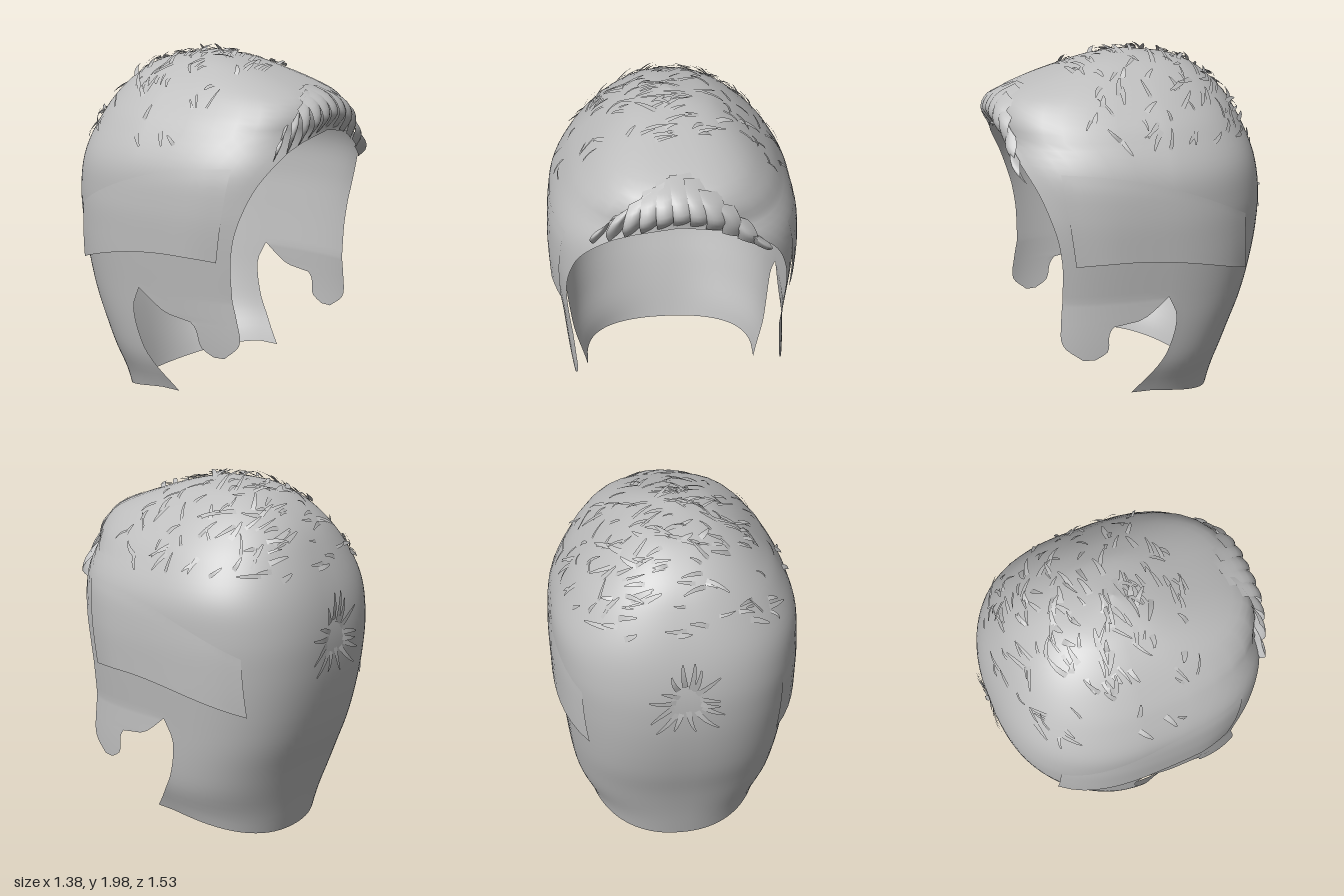
import * as THREE from 'three';
import { mergeGeometries, mergeVertices } from 'three/addons/utils/BufferGeometryUtils.js';

const { lerp, clamp, smoothstep } = THREE.MathUtils;

// Smooth curve through [y, value] keys
function curve(keys) {
  const slope = i => {
    const a = keys[Math.max(i - 1, 0)], b = keys[Math.min(i + 1, keys.length - 1)];
    return (b[1] - a[1]) / (b[0] - a[0]);
  };
  return y => {
    y = clamp(y, keys[0][0], keys[keys.length - 1][0]);
    let i = 0;
    while (i < keys.length - 2 && y > keys[i + 1][0]) i++;
    const [y0, v0] = keys[i], [y1, v1] = keys[i + 1], h = y1 - y0, s = (y - y0) / h;
    const s2 = s * s, s3 = s2 * s;
    return v0 * (2 * s3 - 3 * s2 + 1) + v1 * (3 * s2 - 2 * s3)
      + h * (slope(i) * (s3 - 2 * s2 + s) + slope(i + 1) * (s3 - s2));
  };
}

// Half width, front depth and back depth of the hair at each height
const TOP = 1.96, EAR = 0.72;
const halfWidth = curve([[0, .47], [.13, .5], [.3, .57], [.45, .6], [.72, .63], [1, .66], [1.2, .675],
  [1.4, .66], [1.6, .56], [1.7, .48], [1.8, .38], [1.87, .285], [1.92, .185], [TOP, 0]]);
const frontDepth = curve([[0, .8], [1, .79], [1.1, .78], [1.3, .76], [1.45, .75], [1.57, .72], [1.65, .73],
  [1.74, .69], [1.8, .57], [1.87, .37], [1.92, .2], [TOP, 0]]);
const backDepth = curve([[0, .47], [.2, .52], [.4, .58], [.6, .65], [.8, .7], [1, .73], [1.2, .735],
  [1.4, .7], [1.6, .62], [1.75, .525], [1.87, .38], [1.92, .25], [TOP, 0]]);

// Roundness of the cross-section: squarer in front, rounder behind
const frontPower = y => lerp(0.68, 0.78, smoothstep(y, 1.5, 1.9));
const backPower = y => lerp(0.9, 0.79, smoothstep(y, 0, 0.7)) + 0.06 * smoothstep(y, 1.4, 1.9);
const power = (y, behind) => (behind ? backPower : frontPower)(y);

// Z of the cut edges at each height: face opening, sideburn rear, neck front
const faceEdge = curve([[.4, .38], [.48, .48], [.6, .5], [.9, .5], [1, .51], [1.1, .53], [1.3, .6],
  [1.45, .675], [1.53, .71], [1.57, .74]]);
const burnEdge = curve([[.4, .32], [.44, .26], [.58, .23], [.6, .1], [.63, .04], [.72, -.07]]);
const neckEdge = curve([[.13, .1], [.26, 0], [.4, -.08], [.6, -.12], [.72, -.07]]);

// Point on the rounded-square shell; t runs from the front (0) round the left to the back (PI)
function shellPoint(t, y, out = 0) {
  const c = Math.cos(t), s = Math.sin(t), p = power(y, c < 0);
  const depth = c > 0 ? frontDepth(y) : backDepth(y);
  return new THREE.Vector3(
    Math.sign(s) * Math.abs(s) ** p * (halfWidth(y) + out), y,
    Math.sign(c) * Math.abs(c) ** p * (depth + out));
}
function angleAt(z, y) {
  const r = clamp(z / (z > 0 ? frontDepth(y) : backDepth(y)), -1, 1);
  return Math.acos(Math.sign(r) * Math.abs(r) ** (1 / power(y, z < 0)));
}
// Point on the front of the shell at a given x
function frontPoint(x, y, out) {
  const r = Math.min(1, Math.abs(x) / halfWidth(y));
  return shellPoint(Math.sign(x) * Math.asin(r ** (1 / frontPower(y))), y, out);
}
const earAngle = angleAt(-0.07, EAR);

// Surface from a rule giving the point at column i and row j
function grid(cols, rows, point) {
  const pos = [], index = [], w = cols + 1;
  for (let j = 0; j <= rows; j++)
    for (let i = 0; i <= cols; i++) pos.push(...point(i, j).toArray());
  for (let j = 0; j < rows; j++)
    for (let i = 0; i < cols; i++) {
      const a = j * w + i, b = a + w;
      index.push(a, b, b + 1, a, b + 1, a + 1);
    }
  const g = new THREE.BufferGeometry();
  g.setAttribute('position', new THREE.Float32BufferAttribute(pos, 3));
  g.setIndex(index);
  g.computeVertexNormals();
  return g;
}

let seed = 7;
const random = () => (seed = (seed * 16807) % 2147483647) / 2147483647;
const between = (a, b) => lerp(a, b, random());

// Thin tapered tuft from a base point, along a direction, lifting off the surface
function tuft(base, dir, normal, length, width, lift) {
  const side = new THREE.Vector3().crossVectors(dir, normal);
  const bend = between(-0.25, 0.25) * length;
  return grid(1, 4, (i, j) => {
    const s = j / 4, half = width * (0.5 - 0.35 * s * s) * (i ? 1 : -1);
    return base.clone().addScaledVector(dir, s * length)
      .addScaledVector(side, half + bend * s * s)
      .addScaledVector(normal, 0.003 + lift * Math.sin(s * 2.2));
  });
}

export function createModel() {
  const model = new THREE.Group();
  const hair = new THREE.MeshStandardMaterial({ color: 0xbdbdbd, side: THREE.DoubleSide });
  hair.name = 'hairGrey';
  const add = (name, geometry) => {
    const mesh = new THREE.Mesh(geometry, hair);
    mesh.name = name;
    model.add(mesh);
  };

  // Cap, neck and sideburns share columns along the ear line
  const SIDE = 8, BACK = 48, ALL = BACK + 2 * SIDE, ROWS = 44;
  const cap = grid(ALL, ROWS, (i, j) => {
    const s = j / ROWS;
    const y = s < 0.5 ? TOP - (TOP - 1.57) * (2 * s) ** 2 : lerp(1.57, EAR, (s - 0.5) * 2);
    const start = y >= 1.5699 ? 0 : angleAt(faceEdge(y), y);
    const k = Math.min(i, ALL - i);
    const t = k < SIDE ? lerp(start, earAngle, k / SIDE)
      : lerp(earAngle, Math.PI, (k - SIDE) / (BACK / 2));
    return shellPoint(i > ALL / 2 ? -t : t, y);
  });
  const neck = grid(BACK, 14, (i, j) => {
    const s = j / 14, y = lerp(EAR, 0.13, s);
    const k = Math.min(i, BACK - i);
    const t = lerp(angleAt(neckEdge(y), y), Math.PI, k / (BACK / 2));
    const dip = 0.13 * s * Math.max(0, -Math.cos(t)) ** 1.2;
    return shellPoint(i > BACK / 2 ? -t : t, y - dip);
  });
  // The left sideburn leans outward, the right one leans forward
  const burns = [1, -1].map(sign => grid(SIDE, 16, (i, j) => {
    const s = j / 16, y = lerp(EAR, 0.4, s), k = (sign > 0 ? i : SIDE - i) / SIDE;
    const t = lerp(angleAt(faceEdge(y), y), angleAt(burnEdge(y), y), k);
    const p = shellPoint(sign * t, y, sign > 0 ? 0.045 * s : 0);
    if (sign < 0) p.z += 0.07 * s;
    return p;
  }));
  const shell = mergeGeometries([cap, neck, ...burns]);
  shell.deleteAttribute('normal');
  const smooth = mergeVertices(shell, 1e-4);
  smooth.computeVertexNormals();
  add('hairShell', smooth);

  // Overlapping layer above each ear, lifting off the shell towards its lower edge
  for (const sign of [1, -1]) {
    add(sign > 0 ? 'leftSideLayer' : 'rightSideLayer', grid(16, 10, (i, j) => {
      const k = (sign > 0 ? i : 16 - i) / 16, s = j / 10;
      const z = lerp(lerp(0.5, 0.43, s), -0.53, k);
      const y = lerp(1.42 - 0.3 * k * k, 0.93 + 0.14 * k - 0.27 * k * k, s);
      const out = 0.001 + 0.028 * s * Math.min(1, 0.3 + 4 * k);
      return shellPoint(sign * angleAt(z, y), y, out);
    }));
  }

  // Rolled fringe of overlapping curled locks
  const locks = [];
  for (let n = 0; n < 11; n++) {
    const f = n / 5 - 1, drop = f > 0 ? 0.1 * f ** 2 : 0;
    const x = 0.01 + 0.4 * f, high = 1.8 - 0.19 * f * f - drop;
    const low = 1.58 - 0.09 * Math.abs(f) ** 1.5 - drop;
    const path = new THREE.CatmullRomCurve3([
      frontPoint(x * 0.85, high, 0.005),
      frontPoint(x * 0.93, lerp(high, low, 0.25), 0.02),
      frontPoint(x, lerp(high, low, 0.62), 0.025),
      frontPoint(x * 1.04, low, -0.015)]);
    locks.push(grid(6, 10, (i, j) => {
      const s = j / 10, u = i / 3 - 1, p = path.getPoint(s);
      const half = 0.056 * (1 - 0.2 * s * s);
      p.x += u * half;
      p.y -= u * half * f * 0.8;
      p.z += 0.02 * (1 - u * u) * Math.sin(Math.PI * (0.1 + 0.8 * s)) - 0.012 * u;
      return p;
    }));
  }
  add('fringe', mergeGeometries(locks));

  // Loose tufts scattered over the crown, combed mostly sideways
  const tufts = [];
  while (tufts.length < 170) {
    const t = between(-Math.PI, Math.PI), y = 1.95 - 0.45 * random() ** 1.4;
    if (Math.cos(t) > 0.35 && y < 1.84) continue;
    const base = shellPoint(t, y);
    const around = shellPoint(t + 0.02, y).sub(base);
    const down = shellPoint(t, y - 0.01).sub(base);
    const normal = new THREE.Vector3().crossVectors(down, around).normalize();
    const dir = new THREE.Vector3(random() < 0.5 ? 1 : -1, 0, between(-0.5, 0.8));
    dir.addScaledVector(normal, -dir.dot(normal)).normalize();
    tufts.push(tuft(base, dir, normal, between(0.06, 0.13), between(0.014, 0.035), between(0.004, 0.02)));
  }
  add('crownTufts', mergeGeometries(tufts));

  // Whorl of radiating tufts at the back
  const whorl = [], back = new THREE.Vector3(0, 0, -1);
  for (let n = 0; n < 15; n++) {
    const a = n / 15 * Math.PI * 2 + between(-0.15, 0.15);
    const dir = new THREE.Vector3(Math.cos(a), Math.sin(a), 0);
    const base = new THREE.Vector3(0, 1.17, -0.732).addScaledVector(dir, between(0.05, 0.1));
    whorl.push(tuft(base, dir, back, between(0.09, 0.18), 0.03, between(0.004, 0.02)));
  }
  add('backWhorl', mergeGeometries(whorl));

  return model;
}
